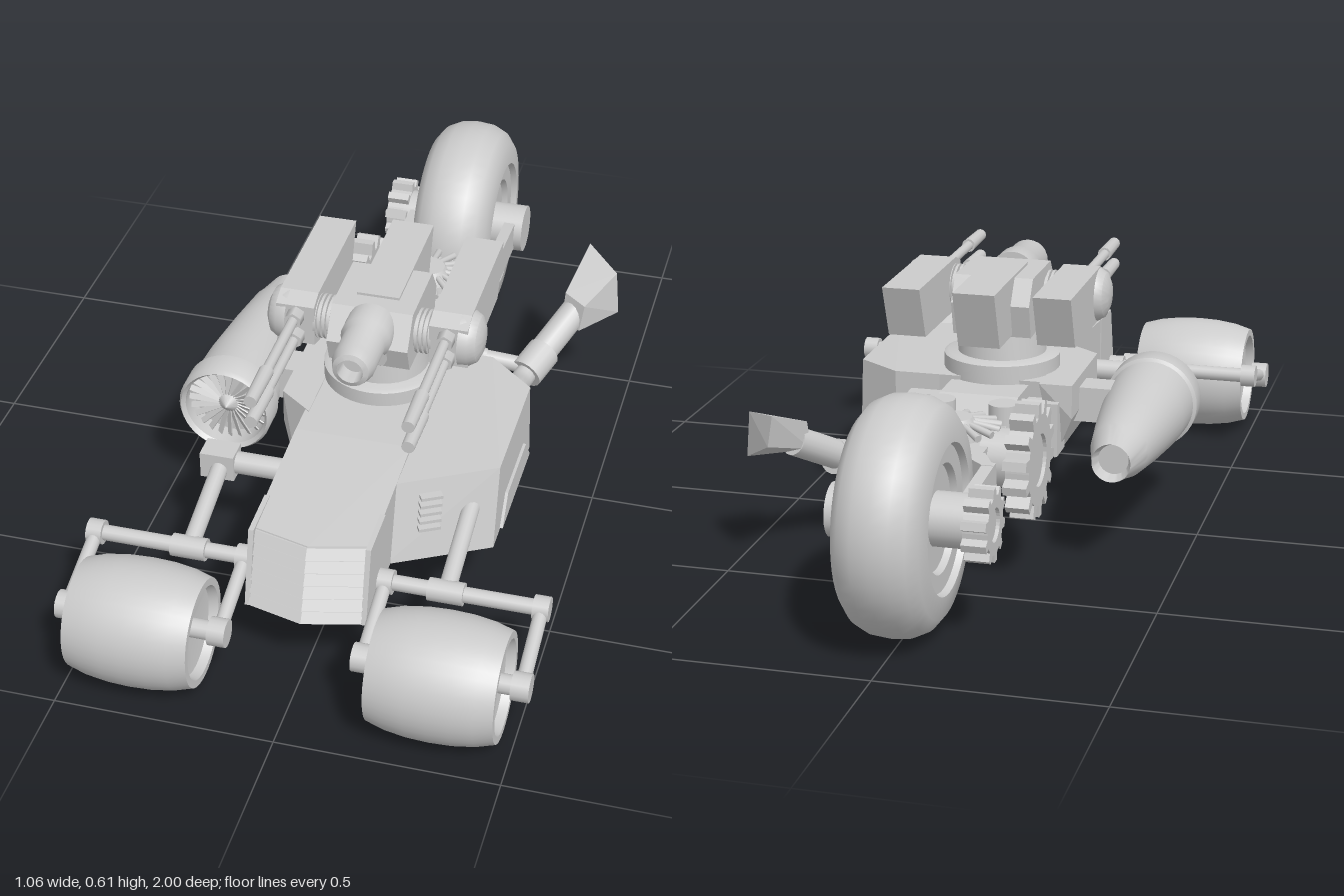
import * as THREE from 'three';
import { toCreasedNormals } from 'three/addons/utils/BufferGeometryUtils.js';
import { ConvexGeometry } from 'three/addons/geometries/ConvexGeometry.js';

const mat = new THREE.MeshStandardMaterial({ color: 0xcccccc, side: THREE.DoubleSide });
const V = (p) => new THREE.Vector3(...p);

export function createModel() {
  const root = new THREE.Group();
  const add = (name, geo, pos = [0, 0, 0], parent = root) => {
    const m = new THREE.Mesh(geo, mat);
    m.name = name;
    m.position.set(...pos);
    parent.add(m);
    return m;
  };
  const box = (name, x0, x1, y0, y1, z0, z1) => add(name,
    new THREE.BoxGeometry(x1 - x0, y1 - y0, z1 - z0), [(x0 + x1) / 2, (y0 + y1) / 2, (z0 + z1) / 2]);
  const hull = (name, pts) => add(name, new ConvexGeometry(pts.map(V)));
  // side profile of [z, y] points swept from x0 to x1
  const slab = (name, x0, x1, prof) => hull(name, prof.flatMap(([z, y]) => [[x0, y, z], [x1, y, z]]));
  // lathe of [radius, offset] points about the x, y or z axis
  const turned = (name, prof, pos, axis, seg = 32) => {
    let g = new THREE.LatheGeometry(prof.map(([r, h]) => new THREE.Vector2(r, h)), seg);
    if (axis === 'x') g.rotateZ(-Math.PI / 2);
    if (axis === 'z') g.rotateX(Math.PI / 2);
    return add(name, toCreasedNormals(g, 0.6), pos);
  };
  // straight rod between two points
  const rod = (name, a, b, r, r2 = r, seg = 16) => {
    const A = V(a), B = V(b), d = B.clone().sub(A);
    const m = add(name, new THREE.CylinderGeometry(r2, r, d.length(), seg), A.clone().add(B).multiplyScalar(0.5).toArray());
    m.quaternion.setFromUnitVectors(new THREE.Vector3(0, 1, 0), d.normalize());
    return m;
  };
  const gear = (name, r, n, width, pos) => {
    const s = new THREE.Shape();
    for (let i = 0; i < n; i++) {
      [[0, 0.78], [0.28, 0.78], [0.4, 1], [0.75, 1], [0.88, 0.78]].forEach(([f, k], j) => {
        const a = (i + f) / n * 2 * Math.PI;
        s[i + j ? 'lineTo' : 'moveTo'](Math.cos(a) * r * k, Math.sin(a) * r * k);
      });
    }
    s.holes.push(new THREE.Path().absarc(0, 0, r * 0.45, 0, Math.PI * 2, true));
    const g = new THREE.ExtrudeGeometry(s, { depth: width, bevelEnabled: false, curveSegments: 16 });
    g.translate(0, 0, -width / 2).rotateY(-Math.PI / 2);
    add(name, g, pos);
    rod(name + 'Hub', [pos[0] - width * 0.35, pos[1], pos[2]], [pos[0] + 0.1, pos[1], pos[2]], r * 0.5);
  };

  // central hull
  const cx = 0.005, hw = 0.135;
  const pair = (y, z, w = hw) => [[cx - w, y, z], [cx + w, y, z]];
  hull('hull', [...pair(0.335, 0.7), [cx, 0.335, 0.735], ...pair(0.36, 0.37), ...pair(0.36, -0.02),
    ...pair(0.165, 0.75), [cx, 0.165, 0.78], ...pair(0.165, 0)]);
  // nose louvres stepping forward toward the bottom
  for (let i = 0; i < 6; i++) {
    const y = 0.32 - i * 0.028, z = 0.712 + i * 0.0095;
    hull('noseLouvre', [...pair(y + 0.012, z - 0.03, 0.128), ...pair(y + 0.012, z - 0.005, 0.128), [cx, y + 0.012, z + 0.027],
      ...pair(y - 0.01, z - 0.03, 0.128), ...pair(y - 0.01, z + 0.01, 0.128), [cx, y - 0.01, z + 0.042]]);
  }
  for (const s of [-1, 1]) {
    slab('noseCheek', cx + s * 0.126, cx + s * 0.138, [[0.72, 0.34], [0.6, 0.345], [0.6, 0.165], [0.765, 0.165]]);
  }
  // left side body with its vents and panels
  hull('leftSideBody', [[0.13, 0.35, 0.5], [0.35, 0.355, 0.385], [0.35, 0.355, 0.07], [0.24, 0.36, -0.02], [0.13, 0.36, -0.02],
    [0.13, 0.165, 0.555], [0.35, 0.165, 0.435], [0.35, 0.165, 0.05], [0.24, 0.165, -0.01], [0.13, 0.165, -0.01]]);
  slab('leftSidePanel', 0.345, 0.357, [[0.37, 0.17], [0.32, 0.235], [0.13, 0.235], [0.08, 0.17]]);
  for (let i = 0; i < 5; i++) {
    const v = add('ventSlat', new THREE.BoxGeometry(0.05, 0.008, 0.02), [0.215, 0.245 + i * 0.018, 0.497 - i * 0.005]);
    v.rotation.y = 0.5;
  }
  // right side body
  hull('rightSideBody', [[-0.12, 0.362, 0.3], [-0.2, 0.362, 0.24], [-0.2, 0.362, -0.04], [-0.12, 0.362, -0.04],
    [-0.12, 0.165, 0.32], [-0.15, 0.165, 0.3], [-0.15, 0.165, 0], [-0.2, 0.28, 0.24], [-0.2, 0.28, -0.04]]);
  box('engineMount', -0.32, -0.18, 0.25, 0.335, 0.04, 0.12);
  // rear engine housing
  box('rearBulkhead', -0.17, 0.2, 0.19, 0.32, -0.06, 0.02);
  slab('rearKeel', -0.09, 0.1, [[0, 0.35], [-0.12, 0.35], [-0.28, 0.3], [-0.28, 0.2], [-0.15, 0.17], [0, 0.165]]);
  for (const s of [-1, 1]) {
    box('rearBlock', cx + s * 0.13 - 0.03, cx + s * 0.13 + 0.03, 0.2, 0.31, -0.12, -0.03);
    rod('rearCylinder', [s * 0.075, 0.2, -0.2], [s * 0.075, 0.36, -0.2], 0.035);
  }
  // spoked radial engine
  turned('radialCore', [[0, -0.12], [0.06, -0.12], [0.06, 0], [0.04, 0.03], [0, 0.03]], [0, 0.34, -0.35], 'y');
  for (let i = 0; i < 16; i++) {
    const a = i / 16 * Math.PI * 2, c = Math.cos(a), s = Math.sin(a);
    rod('radialSpoke', [c * 0.03, 0.36, -0.35 + s * 0.03], [c * 0.105, 0.345, -0.35 + s * 0.105], 0.007, 0.009, 8);
  }
  gear('largeGear', 0.135, 14, 0.055, [-0.17, 0.28, -0.345]);
  gear('smallGear', 0.083, 10, 0.055, [-0.17, 0.27, -0.745]);

  // rear wheel and its fork
  const half = [[0.262, 0], [0.258, 0.04], [0.242, 0.073], [0.215, 0.094], [0.165, 0.1], [0.16, 0.085], [0.12, 0.085], [0.115, 0.07], [0, 0.07]];
  const wheelProfile = (h) => [...h.map(([r, o]) => [r, -o]).reverse(), ...h.slice(1)];
  turned('rearWheel', wheelProfile(half), [cx, 0.27, -0.737], 'x', 48);
  rod('rearAxle', [-0.155, 0.27, -0.737], [0.165, 0.27, -0.737], 0.06, 0.06, 24);
  for (const s of [-1, 1]) {
    slab('forkArm', cx + s * 0.112, cx + s * 0.14, [[-0.75, 0.235], [-0.75, 0.305], [-0.5, 0.32], [-0.49, 0.24]]);
    hull('forkShoulder', [0.24, 0.32].flatMap((y) => [[cx + s * 0.14, y, -0.52], [cx + s * 0.112, y, -0.52],
      [cx + s * 0.09, y, -0.46], [cx + s * 0.05, y, -0.46], [cx + s * 0.1, y, -0.44]]));
  }
  box('forkYoke', -0.09, 0.1, 0.24, 0.32, -0.47, -0.25);

  // front wheels on trailing arms
  const drum = [[0.143, 0], [0.141, 0.05], [0.134, 0.1], [0.122, 0.141], [0.105, 0.141], [0.1, 0.12], [0.03, 0.11], [0, 0.11]];
  for (const wx of [-0.34, 0.333]) {
    const s = Math.sign(wx), sx = s * 0.295;
    turned('frontWheel', wheelProfile(drum), [wx, 0.146, 0.857], 'x', 40);
    rod('frontAxle', [wx - 0.185, 0.15, 0.85], [wx + 0.185, 0.15, 0.85], 0.022);
    rod('crossbar', [wx - 0.185, 0.205, 0.655], [wx + 0.185, 0.205, 0.655], 0.018);
    rod('crossbarCollar', [sx - 0.04, 0.205, 0.655], [sx + 0.04, 0.205, 0.655], 0.026);
    for (const e of [-1, 1]) {
      const x = wx + e * 0.175;
      rod('armCap', [x - 0.02, 0.15, 0.85], [x + 0.02, 0.15, 0.85], 0.032);
      rod('armJoint', [x - 0.018, 0.205, 0.655], [x + 0.018, 0.205, 0.655], 0.028);
      rod('trailingArm', [x, 0.15, 0.85], [x, 0.205, 0.655], 0.016);
    }
    rod('strut', [sx, 0.205, 0.655], [sx, 0.268, 0.41], 0.02);
  }
  rod('rightStrutBar', [-0.31, 0.268, 0.41], [-0.12, 0.268, 0.41], 0.026);
  box('rightStrutJoint', -0.34, -0.26, 0.235, 0.3, 0.38, 0.44);

  // jet engine with intake fan
  turned('jetEngine', [[0, -0.27], [0.035, -0.27], [0.045, -0.3], [0.064, -0.215], [0.068, -0.205], [0.085, -0.08], [0.1, 0.06],
    [0.105, 0.16], [0.113, 0.165], [0.113, 0.225], [0.106, 0.236], [0.098, 0.225], [0.098, 0.17], [0, 0.17]], [-0.35, 0.27, 0], 'z', 40);
  turned('fanHub', [[0.03, 0.16], [0.028, 0.195], [0, 0.22]], [-0.35, 0.27, 0], 'z', 20);
  for (let i = 0; i < 24; i++) {
    const g = new THREE.BoxGeometry(0.08, 0.014, 0.003).rotateX(0.6).translate(0.06, 0, 0);
    add('fanBlade', g, [-0.35, 0.27, 0.195]).rotation.z = i / 24 * Math.PI * 2;
  }

  // exhaust on the left
  const path = new THREE.CatmullRomCurve3([[0.08, 0.25, -0.2], [0.18, 0.22, -0.21]].map(V));
  add('exhaustFeed', new THREE.TubeGeometry(path, 8, 0.022, 12));
  const bend = new THREE.CatmullRomCurve3([[0.26, 0.245, 0.03], [0.28, 0.225, -0.08], [0.28, 0.195, -0.17], [0.3, 0.21, -0.24]].map(V));
  add('exhaustBend', new THREE.TubeGeometry(bend, 16, 0.027, 14));
  rod('exhaustLink', [0.16, 0.22, -0.21], [0.285, 0.205, -0.22], 0.02);
  rod('exhaustCollar', [0.285, 0.195, -0.2], [0.315, 0.22, -0.27], 0.042);
  rod('exhaustPipe', [0.3, 0.21, -0.24], [0.375, 0.29, -0.38], 0.035);
  hull('exhaustTip', [[0.34, 0.265, -0.36], [0.39, 0.255, -0.33], [0.345, 0.335, -0.37], [0.4, 0.325, -0.335],
    [0.385, 0.32, -0.525], [0.47, 0.26, -0.43], [0.375, 0.392, -0.52], [0.46, 0.37, -0.435]]);

  // turret
  turned('turretRing', [[0, 0.35], [0.14, 0.35], [0.14, 0.395], [0.13, 0.4], [0, 0.4]], [cx, 0, 0.1], 'y', 40);
  turned('turretNeck', [[0, 0.39], [0.108, 0.39], [0.1, 0.48], [0, 0.48]], [cx, 0, 0.1], 'y', 32);
  slab('turretBody', cx - 0.095, cx + 0.095, [[0.23, 0.47], [0.25, 0.53], [0.2, 0.6], [0.02, 0.6], [-0.02, 0.54], [0, 0.46]]);
  slab('turretTail', cx - 0.05, cx + 0.05, [[0.15, 0.606], [-0.172, 0.606], [-0.12, 0.465], [0, 0.465], [0.15, 0.5]]);
  turned('mainGun', [[0, 0], [0.058, 0], [0.058, 0.06], [0.05, 0.075], [0.05, 0.16], [0.042, 0.185], [0.03, 0.19], [0.028, 0.15], [0, 0.15]],
    [cx, 0.558, 0.2], 'z', 24);
  slab('mainGunCradle', cx - 0.045, cx + 0.045, [[0.31, 0.53], [0.27, 0.5], [0.15, 0.48], [0.15, 0.56], [0.31, 0.56]]);
  rod('turretTrunnion', [-0.2, 0.535, 0.16], [0.21, 0.535, 0.16], 0.04);
  for (const s of [-1, 1]) {
    const X = (d) => cx + s * d;
    slab('gunPod', X(0.135), X(0.225), [[0.21, 0.485], [0.21, 0.585], [0.17, 0.602], [-0.15, 0.602], [-0.1, 0.475], [0.17, 0.472]]);
    const dome = turned('podDome', [[0.067, 0], [0.065, 0.022], [0.054, 0.04], [0.032, 0.05], [0, 0.053]], [X(0.202), 0.535, 0.16], 'x', 28);
    dome.scale.x = s;
    for (let i = 0; i < 4; i++) rod('podDisc', [X(0.1 + i * 0.011), 0.535, 0.16], [X(0.106 + i * 0.011), 0.535, 0.16], 0.052, 0.052, 20);
    for (const y of [0.508, 0.562]) {
      rod('gunSocket', [X(0.177), y, 0.19], [X(0.177), y, 0.24], 0.022, 0.02, 6);
      rod('gunBarrel', [X(0.177), y, 0.2], [X(0.177), y, 0.46], 0.012, 0.012, 12);
      rod('gunMuzzle', [X(0.177), y, 0.44], [X(0.177), y, 0.56], 0.017, 0.015, 12);
    }
  }
  return root;
}
